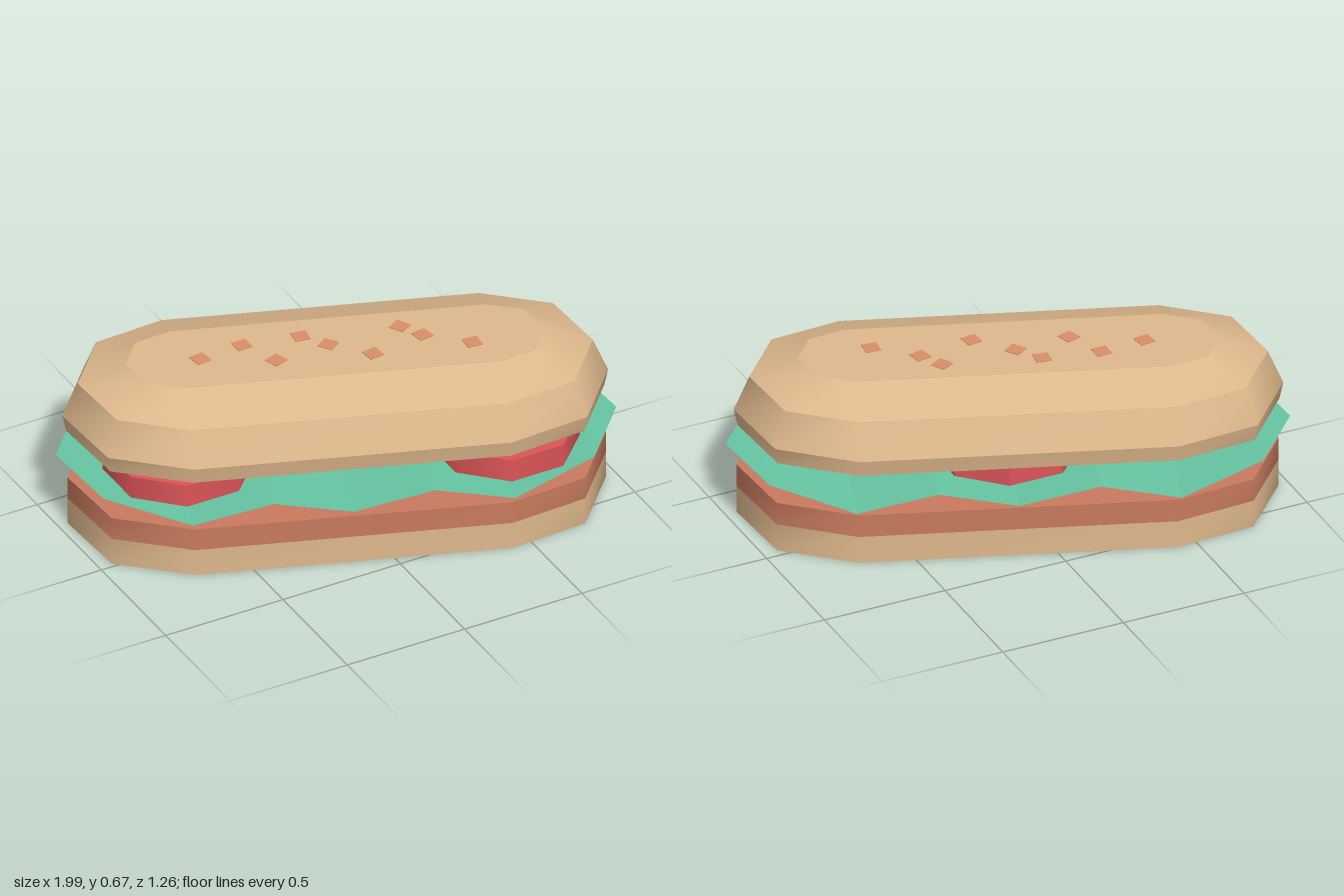
import * as THREE from 'three';

const TILT = THREE.MathUtils.degToRad(20);
const HALF = 0.6; // half length of the straight sides

const material = (name, color) => {
  const m = new THREE.MeshStandardMaterial({ color });
  m.name = name;
  return m;
};

// Ten-sided capsule outline at height y: two four-segment round ends
function outline(r, y) {
  const pts = [];
  for (const end of [0, 1]) {
    for (let i = 0; i <= 4; i++) {
      const a = -Math.PI / 2 + end * Math.PI + (i * Math.PI) / 4;
      pts.push([(end ? -HALF : HALF) + r * Math.cos(a), y, r * Math.sin(a)]);
    }
  }
  return pts;
}

function geometry(points, index) {
  const g = new THREE.BufferGeometry();
  g.setAttribute('position', new THREE.Float32BufferAttribute(points.flat(), 3));
  g.setIndex(index);
  g.computeVertexNormals();
  return g;
}

// Side wall between two outlines, smooth around and sharp at its rims
function band(lower, upper) {
  const n = lower.length, index = [];
  for (let i = 0; i < n; i++) {
    const j = (i + 1) % n;
    index.push(i, n + i, j, j, n + i, n + j);
  }
  return geometry([...lower, ...upper], index);
}

function cap(ring, up) {
  const index = [];
  for (let i = 1; i < ring.length - 1; i++) index.push(0, up ? i + 1 : i, up ? i : i + 1);
  return geometry(ring, index);
}

// Stack of [radius, height] outlines, closed at both ends
function stack(name, levels, mat) {
  const group = new THREE.Group();
  group.name = name;
  const rings = levels.map(([r, y]) => outline(r, y));
  const add = (part, g) => {
    const m = new THREE.Mesh(g, mat);
    m.name = part;
    group.add(m);
  };
  for (let i = 0; i < rings.length - 1; i++) add(name + 'Side', band(rings[i], rings[i + 1]));
  add(name + 'Bottom', cap(rings[0], false));
  add(name + 'Top', cap(rings[rings.length - 1], true));
  return group;
}

// Corrugated leaf: cross ridges along the middle, lifted round ends
function lettuceGeometry() {
  const low = 0.238, high = 0.304, r = 0.45, c = 0.61, pts = [], index = [];
  const tri = (...corners) => {
    for (const p of corners) {
      index.push(pts.length);
      pts.push(p);
    }
  };
  const row = (i) => {
    const x = -c + (i * c) / 2, y = i % 2 ? high : low;
    return [[x, y, -r], [x, y, r]];
  };
  for (let i = 0; i < 4; i++) {
    const [a, b] = row(i), [d, e] = row(i + 1);
    tri(a, b, d);
    tri(d, b, e);
  }
  for (const s of [-1, 1]) {
    const k = r * Math.SQRT1_2;
    const p = [[s * c, low, -s * r], [s * (c + k), high, -s * k], [s * (c + r), high, 0],
      [s * (c + k), high, s * k], [s * c, low, s * r]];
    tri(p[0], p[4], p[1]);
    tri(p[1], p[4], p[3]);
    tri(p[1], p[3], p[2]);
  }
  return geometry(pts, index);
}

export function createModel() {
  const model = new THREE.Group();
  model.name = 'sandwich';

  const bun = material('bun', 0xdeb88c);
  const meat = material('meat', 0xc87a5e);
  const tomato = material('tomato', 0xdc5558);
  const seed = material('seed', 0xd98f68);
  const lettuce = material('lettuce', 0x66c6a3);
  lettuce.side = THREE.DoubleSide;

  const place = (obj, x = 0, z = 0) => {
    obj.rotation.y = -TILT;
    obj.position.set(x, 0, z);
    model.add(obj);
  };

  // Lower half and filling
  place(stack('bottomBun', [[0.418, 0], [0.418, 0.112]], bun), -0.003, 0.01);
  place(stack('meat', [[0.418, 0.112], [0.418, 0.205]], meat), -0.003, 0.01);
  const leaf = new THREE.Mesh(lettuceGeometry(), lettuce);
  leaf.name = 'lettuce';
  place(leaf);

  // Tomato slices
  for (const [x, z, flat] of [[-0.62, -0.09, false], [0.06, -0.105, true], [0.525, 0.345, false]]) {
    let g = new THREE.CylinderGeometry(0.287, 0.287, 0.094, 8, 1, false, Math.PI / 8);
    if (flat) {
      g = g.toNonIndexed();
      g.computeVertexNormals();
    }
    const slice = new THREE.Mesh(g, tomato);
    slice.name = 'tomatoSlice';
    slice.position.set(x, 0.348, z);
    model.add(slice);
  }

  // Upper half
  const profile = [[0.418, 0.395], [0.432, 0.463], [0.374, 0.602], [0.193, 0.671]];
  place(stack('topBun', profile, bun), 0.007, -0.019);

  // Seeds on the crown
  const spots = [[-0.476, -0.187], [-0.296, -0.193], [-0.075, -0.139], [-0.232, -0.043], [-0.01, -0.043],
    [0.283, -0.02], [0.107, 0.092], [0.33, 0.07], [0.47, 0.203]];
  spots.forEach(([x, z], i) => {
    const s = new THREE.Mesh(new THREE.BoxGeometry(0.06, 0.004, 0.06), seed);
    s.name = 'seed';
    s.position.set(x, 0.672, z);
    s.rotation.y = [0.1, 0, -0.15, 0.3, 0.6, 0.5, 0.1, 0.15, -0.1][i];
    model.add(s);
  });

  return model;
}
